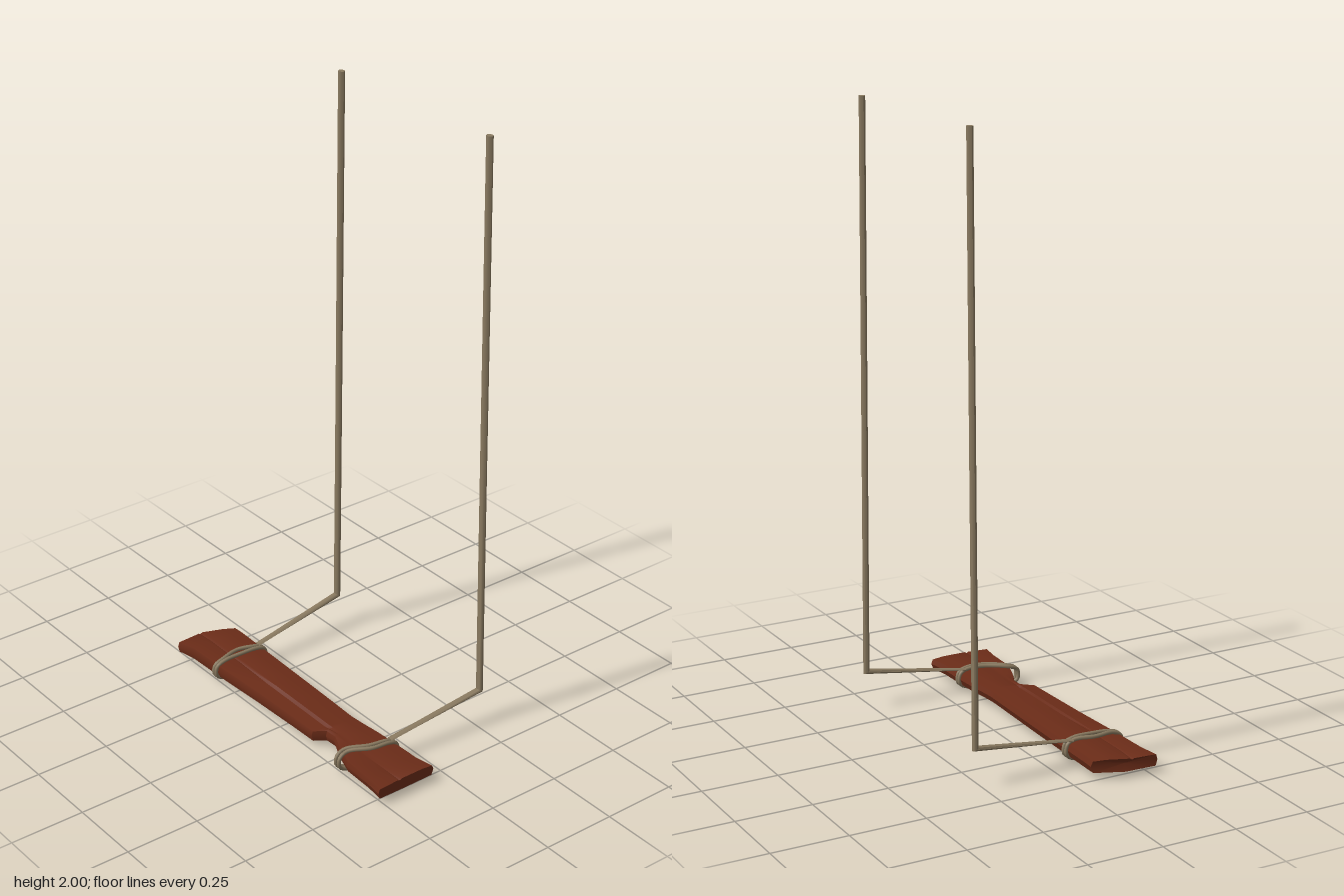
import * as THREE from 'three';
import { toCreasedNormals } from 'three/addons/utils/BufferGeometryUtils.js';

const wood = new THREE.MeshStandardMaterial({ color: 0x6b2c18 });
const hemp = new THREE.MeshStandardMaterial({ color: 0x8a7a60 });

// Skin a list of equal-length rings and cap both ends
function loft(rings, crease) {
  const n = rings[0].length, pos = rings.flat(2), idx = [];
  for (let i = 0; i < rings.length - 1; i++) {
    for (let j = 0; j < n; j++) {
      const a = i * n + j, b = i * n + (j + 1) % n;
      idx.push(a, b, a + n, b, b + n, a + n);
    }
  }
  for (const end of [0, rings.length - 1]) {
    const c = pos.length / 3;
    for (let k = 0; k < 3; k++) pos.push(rings[end].reduce((s, p) => s + p[k], 0) / n);
    for (let j = 0; j < n; j++) {
      const a = end * n + j, b = end * n + (j + 1) % n;
      idx.push(...(end ? [a, b, c] : [b, a, c]));
    }
  }
  const g = new THREE.BufferGeometry();
  g.setAttribute('position', new THREE.Float32BufferAttribute(pos, 3));
  g.setIndex(idx);
  return toCreasedNormals(g, crease);
}

function add(parent, name, geometry, material) {
  const mesh = new THREE.Mesh(geometry, material);
  mesh.name = name;
  parent.add(mesh);
}

// Plank stations: x, back z, front z, top y, bottom y, crack depth, end slant
const STATIONS = [
  [-0.535, 0.065, 0.275, 0.066, 0.025, 0.004, 0.045],
  [-0.47, 0.066, 0.261, 0.069, 0.024, 0.003, 0.02],
  [-0.3, 0.069, 0.256, 0.068, 0.024, 0.003, 0],
  [-0.12, 0.073, 0.247, 0.067, 0.024, 0.009, 0],
  [0.05, 0.077, 0.242, 0.066, 0.025, 0.013, 0],
  [0.153, 0.08, 0.24, 0.065, 0.025, 0.01, 0],
  [0.165, 0.08, 0.222, 0.065, 0.025, 0.007, 0],
  [0.18, 0.079, 0.204, 0.065, 0.025, 0.004, 0],
  [0.22, 0.076, 0.202, 0.065, 0.025, 0.002, 0],
  [0.28, 0.07, 0.23, 0.065, 0.024, 0.002, 0],
  [0.35, 0.066, 0.254, 0.065, 0.024, 0.002, 0],
  [0.46, 0.062, 0.259, 0.064, 0.025, 0.003, 0],
  [0.525, 0.05, 0.267, 0.064, 0.026, 0.004, 0],
];

function plankRing([x, zb, zf, yt, yb, d, slant]) {
  const c = Math.min(0.185, zf - 0.02), ym = (yt + yb) / 2;
  return [
    [yb, zb + 0.008], [ym, zb], [yt - 0.004, zb + 0.006], [yt, zb + 0.045],
    [yt, c - 0.009], [yt - d, c], [yt - 0.001, c + 0.006],
    [yt - 0.004, zf - 0.005], [ym, zf], [yb, zf - 0.006], [yb - 0.001, c - 0.02],
  ].map(([y, z]) => [x + slant * Math.max(0, (0.18 - z) / 0.115), y, z]);
}

// Hanging rope: round and upright, then a flattened run forward to the seat
function rope(s, seatX) {
  const ring = (cx, cy, cz, rx, ry, rz) => Array.from({ length: 8 }, (_, i) => {
    const t = (i / 8) * Math.PI * 2, k = Math.sin(t);
    return [cx + rx * Math.cos(t), cy + ry * k, cz + rz * k];
  });
  return loft([
    ring(s * 0.345, 2, -0.267, 0.012, 0, 0.01),
    ring(s * 0.358, 1, -0.267, 0.012, 0, 0.01),
    ring(s * 0.37, 0.128, -0.267, 0.012, 0.007, 0.01),
    ring(seatX, 0.077, 0.085, 0.011, 0.003, 0.001),
  ], 0.9);
}

// Closed loop around the plank; x at the back, middle and front
function lashing(xb, xm, xf) {
  const path = [
    [xb, 0.066, 0.072], [xb, 0.077, 0.1], [xm, 0.079, 0.16], [xf, 0.075, 0.228],
    [xf, 0.062, 0.258], [xf, 0.03, 0.26], [xf, 0.014, 0.235], [xm, 0.009, 0.16],
    [xb, 0.014, 0.095], [xb, 0.03, 0.067],
  ].map((p) => new THREE.Vector3(...p));
  const curve = new THREE.CatmullRomCurve3(path, true);
  return new THREE.TubeGeometry(curve, 48, 0.0065, 6, true);
}

export function createModel() {
  const swing = new THREE.Group();
  swing.name = 'ropeSwing';

  // Weathered seat with a notch in its front edge and a crack on top
  add(swing, 'plank', loft(STATIONS.map(plankRing), 0.6), wood);

  // Ropes and their paired lashings
  const sides = [
    ['left', 1, 0.353, [[0.353, 0.342, 0.307], [0.367, 0.36, 0.322]]],
    ['right', -1, -0.346, [[-0.343, -0.358, -0.346], [-0.328, -0.331, -0.334]]],
  ];
  for (const [side, s, seatX, loops] of sides) {
    const group = new THREE.Group();
    group.name = side + 'Suspension';
    add(group, side + 'Rope', rope(s, seatX), hemp);
    loops.forEach((l, i) => add(group, side + 'Lashing' + (i + 1), lashing(...l), hemp));
    swing.add(group);
  }
  return swing;
}
